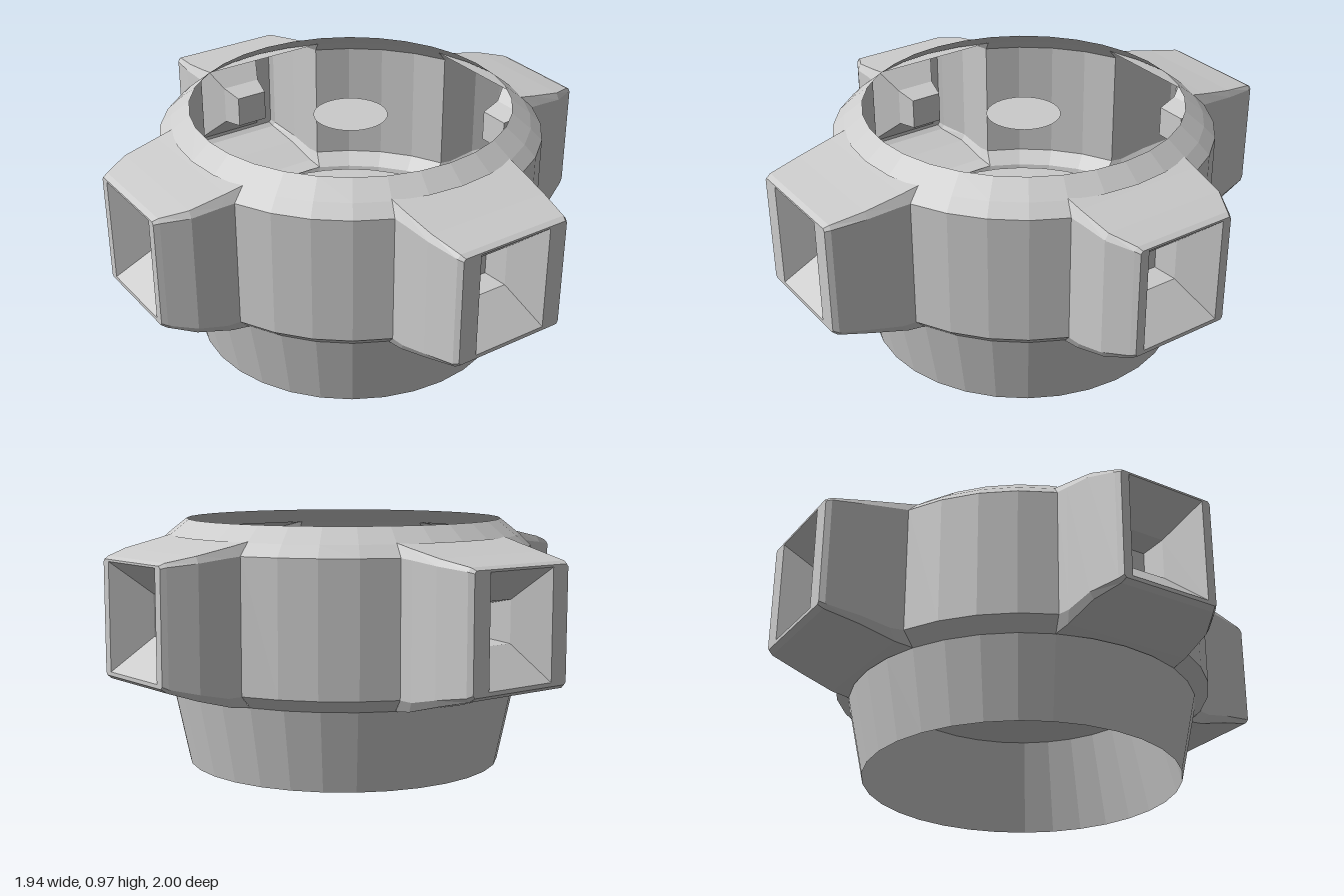
import * as THREE from 'three';

const flat = new THREE.MeshStandardMaterial({ color: 0xcccccc, flatShading: true, side: THREE.DoubleSide });
const smooth = new THREE.MeshStandardMaterial({ color: 0xcccccc, side: THREE.DoubleSide });

// Revolved sheet from [radius, y] points
function revolve(name, points, material, segments = 32, start = 0, sweep = Math.PI * 2) {
  const profile = points.map(([r, y]) => new THREE.Vector2(r, y));
  const mesh = new THREE.Mesh(new THREE.LatheGeometry(profile, segments, start, sweep), material);
  mesh.name = name;
  return mesh;
}

// Rectangle with cut corners, counter-clockwise as seen from the arm's tip.
// a: half width of top and bottom edges, b: half width of the sides, c: corner cut
function section(a, b, y0, y1, c, da, db = da) {
  return [
    [-a, y0, da], [a, y0, da], [b, y0 + c, db], [b, y1 - c, db],
    [a, y1, da], [-a, y1, da], [-b, y1 - c, db], [-b, y0 + c, db],
  ];
}

// Skin a row of sections and close the last one
function loft(sections) {
  const n = sections[0].length;
  const index = [];
  for (let i = 0; i < sections.length - 1; i++) {
    for (let j = 0; j < n; j++) {
      const k = (j + 1) % n;
      const p = i * n + j, q = i * n + k;
      index.push(p, q, q + n, p, q + n, p + n);
    }
  }
  const last = (sections.length - 1) * n;
  for (let j = 1; j < n - 1; j++) index.push(last, last + j, last + j + 1);
  const geometry = new THREE.BufferGeometry();
  geometry.setAttribute('position', new THREE.Float32BufferAttribute(sections.flat(2), 3));
  geometry.setIndex(index);
  geometry.computeVertexNormals();
  return geometry;
}

// Hollow tapered arm: outer shell, rim, then funnel and closed throat inside
function arm(tip, halfWidth, opening) {
  return loft([
    section(0.266, 0.285, 0.31, 0.915, 0.05, 0.64, 0.688),
    section(0.262, 0.278, 0.318, 0.9, 0.04, 0.71, 0.74),
    section(0.25, 0.265, 0.357, 0.872, 0.025, 0.85),
    section(halfWidth - 0.012, halfWidth, 0.39, 0.85, 0.015, tip - 0.02),
    section(halfWidth - 0.02, halfWidth - 0.012, 0.405, 0.84, 0.01, tip),
    section(opening, opening, 0.42, 0.832, 0, tip),
    section(0.085, 0.085, 0.55, 0.71, 0, tip - 0.14),
    section(0.067, 0.067, 0.56, 0.69, 0, tip - 0.23),
  ]);
}

export function createModel() {
  const model = new THREE.Group();
  model.name = 'nozzleRing';

  // Hollow base and floor with a low cone in the middle
  model.add(revolve('baseOuterWall', [[0.625, 0], [0.69, 0.31]], flat));
  model.add(revolve('baseInnerWall', [[0.53, 0.38], [0.625, 0]], flat));
  model.add(revolve('floor', [[0.29, 0.39], [0.42, 0.385], [0.53, 0.38]], smooth));
  model.add(revolve('floorCone', [[0, 0.6], [0.29, 0.39]], smooth));

  // Small disc held above the cone
  model.add(revolve('centreDisc', [[0, 0.91], [0.145, 0.91]], smooth));

  // Top rim above the arms
  model.add(revolve('topRim', [[0.7, 0.91], [0.625, 0.97]], flat));

  for (let k = 0; k < 4; k++) {
    // Band panels between the arms
    model.add(revolve('bandPanel', [[0.69, 0.31], [0.745, 0.36], [0.745, 0.865], [0.7, 0.91]],
      flat, 4, Math.PI / 8 + k * Math.PI / 2, Math.PI / 4));

    // Arms: the front and back pair is slightly longer and wider
    const long = k % 2 === 0;
    const nozzle = new THREE.Mesh(long ? arm(1, 0.24, 0.153) : arm(0.968, 0.215, 0.167), flat);
    nozzle.name = 'nozzleArm';
    nozzle.rotation.y = k * Math.PI / 2;
    model.add(nozzle);
  }
  return model;
}
